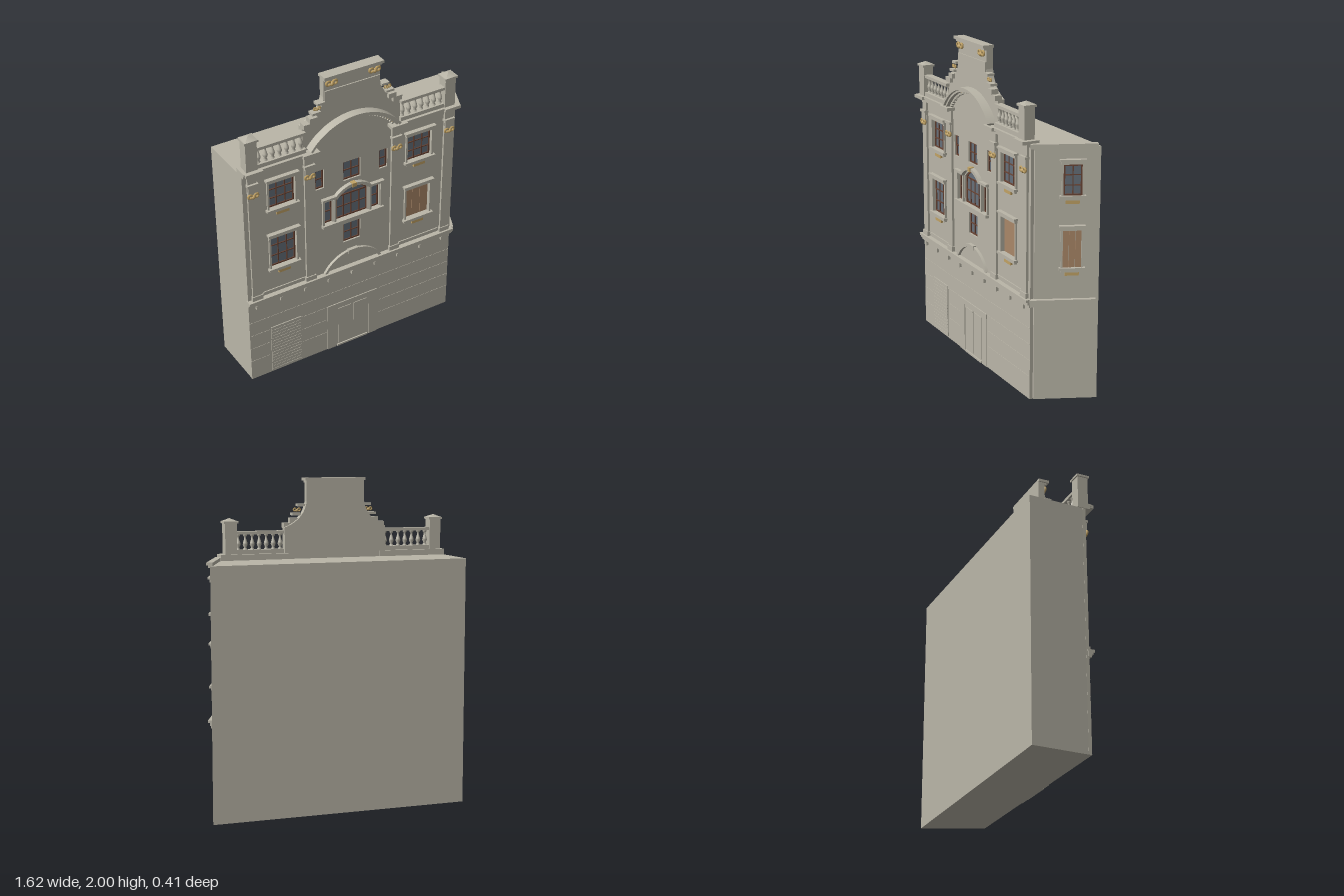
import * as THREE from 'three';

const mat = (name, color) => {
  const m = new THREE.MeshStandardMaterial({ color });
  m.name = name;
  return m;
};

export function createModel() {
  const model = new THREE.Group();
  model.name = 'townBuilding';
  const stone = mat('stone', 0xbab6a8), glass = mat('glass', 0x66707a), brown = mat('windowFrame', 0x6b4535);
  const gold = mat('gilding', 0xc2a365), wood = mat('shutterWood', 0xaa8768);
  const CX = -0.085, F = 0.15, BACK = 0.13; // centre axis, facade face, body face

  const add = (parent, name, geo, m) => {
    const mesh = new THREE.Mesh(geo, m);
    mesh.name = name;
    parent.add(mesh);
    return mesh;
  };
  const box = (parent, name, m, x0, x1, y0, y1, z0, z1) => {
    const b = add(parent, name, new THREE.BoxGeometry(x1 - x0, y1 - y0, z1 - z0), m);
    b.position.set((x0 + x1) / 2, (y0 + y1) / 2, (z0 + z1) / 2);
    return b;
  };
  const extrude = (parent, name, m, shape, z0, z1) => {
    const e = add(parent, name, new THREE.ExtrudeGeometry(shape, { depth: z1 - z0, bevelEnabled: false, curveSegments: 28 }), m);
    e.position.z = z0;
    return e;
  };
  // Curved moulding; half is the half angle of the arc
  const arcBand = (parent, name, m, cx, cy, r0, r1, half, z0, z1) => {
    const s = new THREE.Shape(), a = Math.PI / 2 - half, b = Math.PI / 2 + half;
    s.absarc(cx, cy, r1, a, b, false);
    s.absarc(cx, cy, r0, b, a, true);
    s.closePath();
    return extrude(parent, name, m, s, z0, z1);
  };
  // Gilded scroll: a pair of curls around a bud
  const scroll = (parent, x, y, z, s) => {
    for (const d of [-1, 1]) {
      const c = add(parent, 'gildedCurl', new THREE.TorusGeometry(0.011 * s, 0.006 * s, 6, 12), gold);
      c.position.set(x + d * 0.018 * s, y, z);
    }
    const bud = add(parent, 'gildedBud', new THREE.SphereGeometry(0.012 * s, 10, 6), gold);
    bud.position.set(x, y - 0.006 * s, z);
  };

  // Main body with the slanted right flank
  const plan = new THREE.Shape([[-0.81, 0.21], [0.79, 0.21], [0.643, -BACK], [-0.801, -BACK]]
    .map(p => new THREE.Vector2(p[0], p[1])));
  const body = add(model, 'body', new THREE.ExtrudeGeometry(plan, { depth: 1.515, bevelEnabled: false }), stone);
  body.rotation.x = -Math.PI / 2;

  // Facade wall, pierced by the windows [x0, x1, y0, y1, columns, rows, filling]
  const windows = [
    [-0.64, -0.47, 1.235, 1.415, 3, 3], [0.295, 0.465, 1.235, 1.415, 3, 3],
    [-0.64, -0.47, 0.81, 1.03, 3, 3], [0.295, 0.465, 0.81, 1.03, 3, 1, 'shutter'],
    [-0.333, -0.275, 1.25, 1.38, 1, 2], [-0.145, -0.027, 1.25, 1.38, 2, 2], [0.1, 0.158, 1.25, 1.38, 1, 2],
    [-0.145, -0.027, 0.80, 0.935, 2, 2],
    [-0.278, -0.22, 0.985, 1.148, 1, 2], [0.045, 0.103, 0.985, 1.148, 1, 2],
  ];
  const wall = new THREE.Shape([[-0.802, 0], [0.635, 0], [0.635, 1.525], [-0.802, 1.525]]
    .map(p => new THREE.Vector2(p[0], p[1])));
  for (const [x0, x1, y0, y1] of windows) {
    wall.holes.push(new THREE.Path([[x0, y0], [x1, y0], [x1, y1], [x0, y1]].map(p => new THREE.Vector2(p[0], p[1]))));
  }
  const R = 0.137, half = Math.asin(0.108 / R), arcY = 1.148 - R * Math.cos(half);
  const archHole = new THREE.Path();
  archHole.moveTo(CX - 0.108, 0.985);
  archHole.lineTo(CX + 0.108, 0.985);
  archHole.absarc(CX, arcY, R, Math.PI / 2 - half, Math.PI / 2 + half, false);
  archHole.closePath();
  wall.holes.push(archHole);
  extrude(model, 'facadeWall', stone, wall, BACK, F);

  // Pane, frame and glazing bars; z is the plane of the glass
  const pane = (parent, x0, x1, y0, y1, cols, rows, z, fill, t = 0.009) => {
    if (fill) {
      const w = (x1 - x0) / cols;
      for (let i = 0; i < cols; i++) box(parent, 'shutterPlank', wood, x0 + i * w + 0.001, x0 + (i + 1) * w - 0.001, y0, y1, z, z + 0.006);
      return;
    }
    box(parent, 'glass', glass, x0, x1, y0, y1, z, z + 0.003);
    for (let i = 0; i <= cols; i++) {
      const e = i === 0 || i === cols, c = x0 + (x1 - x0) * i / cols + (i === 0 ? t / 2 : i === cols ? -t / 2 : 0), h = e ? t / 2 : 0.003;
      box(parent, 'glazingBar', brown, c - h, c + h, y0, y1, z, z + 0.009);
    }
    for (let j = 0; j <= rows; j++) {
      const e = j === 0 || j === rows, c = y0 + (y1 - y0) * j / rows + (j === 0 ? t / 2 : j === rows ? -t / 2 : 0), h = e ? t / 2 : 0.003;
      box(parent, 'glazingBar', brown, x0, x1, c - h, c + h, z, z + 0.0085);
    }
  };
  // Stone hood, jambs, sill and gilded bracket; z is the wall face
  const surround = (parent, x0, x1, y0, y1, z) => {
    const c = (x0 + x1) / 2;
    for (const [a, b] of [[x0 - 0.012, x0], [x1, x1 + 0.012]]) box(parent, 'jamb', stone, a, b, y0, y1, z, z + 0.012);
    box(parent, 'hoodLower', stone, x0 - 0.014, x1 + 0.014, y1, y1 + 0.018, z, z + 0.018);
    box(parent, 'hoodUpper', stone, x0 - 0.022, x1 + 0.022, y1 + 0.018, y1 + 0.03, z, z + 0.028);
    box(parent, 'sill', stone, x0 - 0.022, x1 + 0.022, y0 - 0.014, y0, z, z + 0.026);
    box(parent, 'sillApron', stone, x0 - 0.01, x1 + 0.01, y0 - 0.028, y0 - 0.014, z, z + 0.016);
    box(parent, 'gildedBracket', gold, c - 0.04, c + 0.04, y0 - 0.048, y0 - 0.028, z, z + 0.014);
  };
  windows.forEach(([x0, x1, y0, y1, cols, rows, fill], i) => {
    pane(model, x0, x1, y0, y1, cols, rows, BACK + 0.001, fill);
    if (i < 4) surround(model, x0, x1, y0, y1, F);
  });

  // Central three-part window with its arched hood
  pane(model, CX - 0.108, CX + 0.108, 0.985, 1.148, 4, 2, BACK + 0.001);
  const lunette = new THREE.Shape();
  lunette.absarc(CX, arcY, R, Math.PI / 2 - half, Math.PI / 2 + half, false);
  lunette.closePath();
  extrude(model, 'lunetteGlass', glass, lunette, BACK + 0.001, BACK + 0.004);
  arcBand(model, 'lunetteFrame', brown, CX, arcY, R - 0.009, R, half, BACK + 0.001, BACK + 0.01);
  arcBand(model, 'archedHood', stone, CX, arcY, R + 0.008, R + 0.028, half, F, F + 0.025);
  for (const d of [-1, 1]) {
    box(model, 'sideHood', stone, CX + d * 0.16 - 0.052, CX + d * 0.16 + 0.052, 1.16, 1.175, F, F + 0.025);
    for (const o of [0.122, 0.2]) box(model, 'windowColumn', stone, CX + d * o - 0.007, CX + d * o + 0.007, 0.985, 1.16, F, F + 0.012);
  }
  box(model, 'centralSill', stone, CX - 0.212, CX + 0.212, 0.967, 0.985, F, F + 0.025);
  box(model, 'gildedKeystone', gold, CX - 0.015, CX + 0.015, 1.205, 1.232, F, F + 0.03);

  // Blind arch above the ground floor
  arcBand(model, 'blindArch', stone, CX, 0.508, 0.212, 0.23, 1.05, F, F + 0.018);
  box(model, 'blindArchKeystone', stone, CX - 0.035, CX + 0.035, 0.715, 0.742, F, F + 0.022);

  // Pilasters with gilded capitals
  for (const x of [-0.745, -0.38, 0.21, 0.582]) {
    box(model, 'pilaster', stone, x - 0.029, x + 0.029, 0.62, 1.525, F, F + 0.014);
    box(model, 'pilasterBase', stone, x - 0.035, x + 0.035, 0.62, 0.65, F, F + 0.02);
    box(model, 'capital', stone, x - 0.028, x + 0.028, 1.385, 1.44, F, F + 0.022);
    box(model, 'capitalTop', stone, x - 0.035, x + 0.035, 1.44, 1.455, F, F + 0.028);
    scroll(model, x, 1.378, F + 0.022, 1.1);
    box(model, 'corniceBreak', stone, x - 0.055, x + 0.055, 1.53, 1.55, F, 0.205);
  }
  for (const [a, b] of [[-0.7, -0.42], [0.25, 0.54]]) box(model, 'wallPlinth', stone, a, b, 0.635, 0.65, F, F + 0.007);

  // Middle and top cornices of the facade
  [[0.572, 0.588, 0.012], [0.588, 0.604, 0.022], [0.604, 0.62, 0.032]].forEach(([a, b, d]) =>
    box(model, 'middleCornice', stone, -0.808, 0.642, a, b, F - 0.01, F + d));
  for (let i = 0; i < 9; i++) {
    const x = -0.75 + i * 0.165;
    box(model, 'corniceBlock', stone, x - 0.005, x + 0.005, 0.545, 0.572, F, F + 0.015);
  }
  for (const [a, b] of [[-0.806, -0.375], [0.205, 0.64]]) {
    box(model, 'topCorniceLower', stone, a, b, 1.515, 1.535, 0.1, F + 0.028);
    box(model, 'topCorniceUpper', stone, a, b, 1.535, 1.55, 0.1, F + 0.04);
  }

  // Ground floor: stone courses, roller door and framed entrance
  for (const y of [0.14, 0.24, 0.34, 0.44]) {
    for (const [a, b] of y < 0.35 ? [[-0.8, -0.67], [-0.44, -0.27], [0.11, 0.634]] : [[-0.8, 0.634]]) {
      box(model, 'courseLine', stone, a, b, y, y + 0.003, F, F + 0.002);
    }
  }
  box(model, 'rollerDoor', stone, -0.66, -0.45, 0.01, 0.355, F, F + 0.006);
  for (let i = 1; i < 16; i++) box(model, 'rollerSlat', stone, -0.655, -0.455, i * 0.022, i * 0.022 + 0.004, F, F + 0.008);
  box(model, 'entranceLintel', stone, CX - 0.18, CX + 0.18, 0.315, 0.345, F, F + 0.006);
  for (const d of [-1, 1]) {
    box(model, 'entranceJamb', stone, CX + d * 0.15 - 0.03, CX + d * 0.15 + 0.03, 0, 0.315, F, F + 0.005);
    box(model, 'entranceDoor', stone, CX + d * 0.055 - 0.048, CX + d * 0.055 + 0.048, 0.02, 0.3, F, F + 0.004);
  }
  box(model, 'entranceStep', stone, CX - 0.11, CX + 0.11, 0, 0.012, F, F + 0.008);

  // Balustrades and corner piers
  const balusterGeo = new THREE.LatheGeometry([[0.012, 0], [0.012, 0.008], [0.007, 0.014], [0.015, 0.034], [0.013, 0.045],
    [0.006, 0.068], [0.006, 0.08], [0.012, 0.086], [0.012, 0.095]].map(p => new THREE.Vector2(p[0], p[1])), 10);
  for (const [a, b, pier] of [[-0.715, -0.4, -0.748], [0.235, 0.542, 0.573]]) {
    box(model, 'balustradeFoot', stone, a, b, 1.55, 1.575, 0.125, 0.172);
    box(model, 'balustradeRail', stone, a, b, 1.667, 1.685, 0.125, 0.172);
    for (let i = 0; i < 7; i++) {
      add(model, 'baluster', balusterGeo, stone).position.set(a + (b - a) * (i + 0.5) / 7, 1.573, 0.148);
    }
    box(model, 'pier', stone, pier - 0.036, pier + 0.036, 1.55, 1.735, 0.113, 0.178);
    box(model, 'pierCap', stone, pier - 0.044, pier + 0.044, 1.735, 1.748, 0.106, 0.186);
    const tip = add(model, 'pierTip', new THREE.ConeGeometry(0.056, 0.018, 4), stone);
    tip.rotation.y = Math.PI / 4;
    tip.position.set(pier, 1.757, 0.146);
  }

  // Gable with concave shoulders
  const gable = new THREE.Shape();
  gable.moveTo(CX - 0.325, 1.51);
  gable.lineTo(CX + 0.325, 1.51);
  gable.lineTo(CX + 0.325, 1.705);
  gable.quadraticCurveTo(CX + 0.2, 1.75, CX + 0.185, 1.86);
  gable.lineTo(CX + 0.185, 1.985);
  gable.lineTo(CX - 0.185, 1.985);
  gable.lineTo(CX - 0.185, 1.86);
  gable.quadraticCurveTo(CX - 0.2, 1.75, CX - 0.325, 1.705);
  gable.closePath();
  extrude(model, 'gable', stone, gable, 0.108, F);
  box(model, 'gablePanel', stone, CX - 0.18, CX + 0.18, 1.825, 1.9, F, F + 0.007);
  box(model, 'gableCorniceLower', stone, CX - 0.185, CX + 0.185, 1.97, 1.983, 0.108, F + 0.016);
  box(model, 'gableCorniceUpper', stone, CX - 0.194, CX + 0.194, 1.983, 2, 0.108, F + 0.028);
  for (const d of [-1, 1]) {
    for (const [o, y, w, h] of [[0.295, 1.715, 0.06, 0.03], [0.26, 1.745, 0.05, 0.03], [0.243, 1.782, 0.055, 0.014], [0.212, 1.836, 0.05, 0.014]]) {
      const x = CX + d * o;
      box(model, 'shoulderStep', stone, x - w / 2, x + w / 2, y - h / 2, y + h / 2, 0.125, F + 0.02);
    }
    scroll(model, CX + d * 0.232, 1.808, F + 0.006, 0.75);
    scroll(model, CX + d * 0.14, 1.95, F + 0.012, 1.2);
  }

  // Large arch across the gable, with gilded teeth beneath
  arcBand(model, 'greatArch', stone, CX, 1.34, 0.35, 0.365, 0.93, F, 0.19);
  arcBand(model, 'greatArchRim', stone, CX, 1.34, 0.362, 0.377, 0.93, F, 0.205);
  arcBand(model, 'gildedArchBand', gold, CX, 1.34, 0.343, 0.35, 0.9, F, 0.165);
  for (let i = 0; i < 30; i++) {
    const a = -0.88 + i * 1.76 / 29;
    const tooth = add(model, 'archTooth', new THREE.BoxGeometry(0.012, 0.013, 0.02), stone);
    tooth.position.set(CX + Math.sin(a) * 0.342, 1.34 + Math.cos(a) * 0.342, F + 0.01);
    tooth.rotation.z = -a;
  }

  // Slanted right flank: cornices and two windows, built facing +z then turned
  const flank = new THREE.Group();
  flank.name = 'slantedFlank';
  flank.position.set(0.7125, 0, -0.03);
  flank.rotation.y = Math.atan2(0.36, 0.155);
  model.add(flank);
  [[0.572, 0.588, 0.008], [0.588, 0.604, 0.015], [0.604, 0.62, 0.025], [1.505, 1.52, 0.014], [1.52, 1.535, 0.025]].forEach(([a, b, d]) =>
    box(flank, 'flankCornice', stone, -0.2, 0.178, a, b, -0.012, d));
  for (const [y0, y1, rows, fill] of [[1.235, 1.415, 3], [0.81, 1.03, 1, 'shutter']]) {
    pane(flank, -0.014, 0.092, y0, y1, fill ? 3 : 2, rows, 0.001, fill);
    surround(flank, -0.014, 0.092, y0, y1, 0);
  }
  return model;
}
